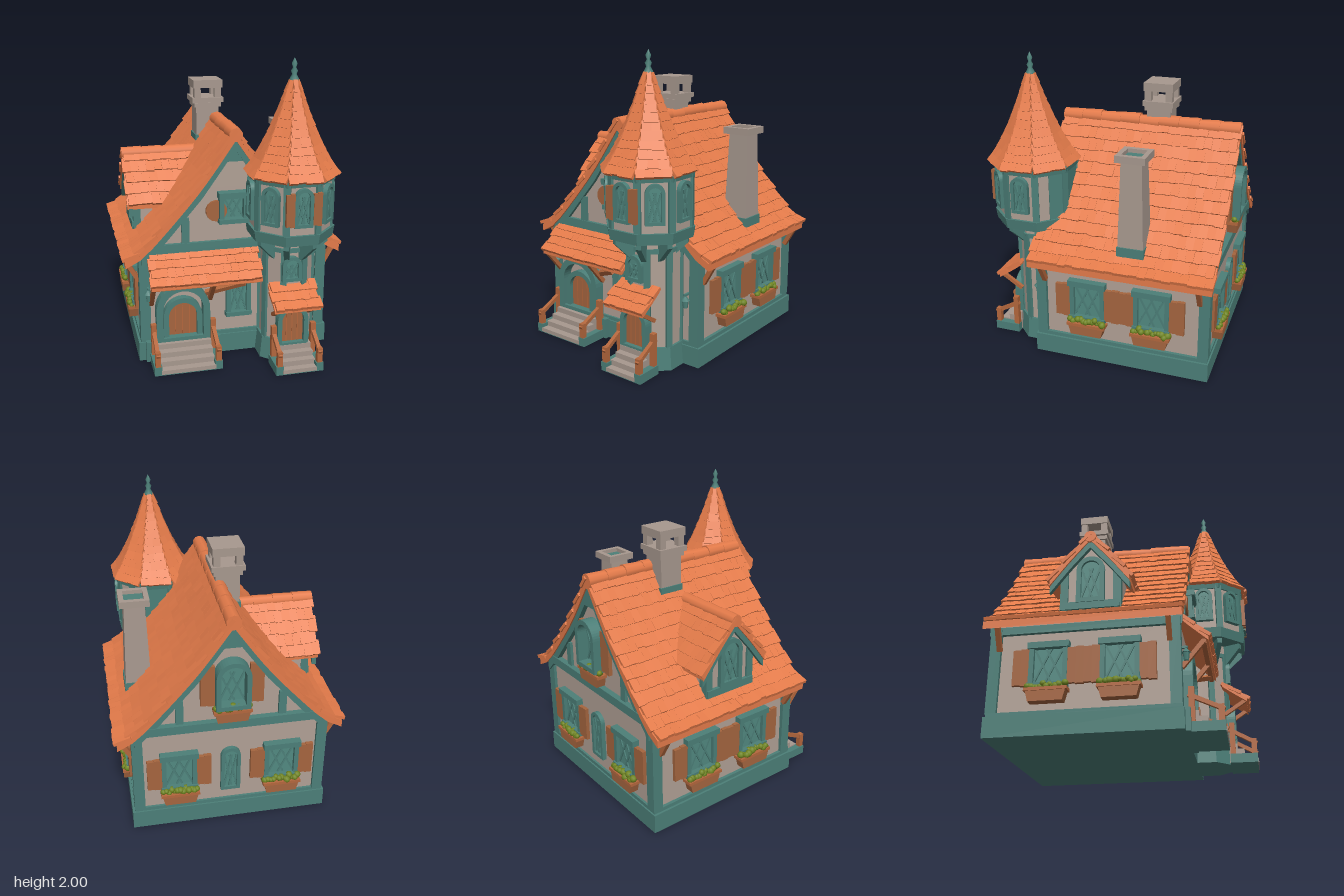
import * as THREE from 'three';
import { mergeGeometries } from 'three/addons/utils/BufferGeometryUtils.js';

const mat = (name, color) => Object.assign(new THREE.MeshStandardMaterial({ color }), { name });
const M = {
  tile: mat('roofTile', 0xe47b4a), teal: mat('tealTimber', 0x4c7f78), wall: mat('plaster', 0xb0a095),
  stone: mat('stone', 0xa7988e), wood: mat('wood', 0xa5653f), rail: mat('lightWood', 0xb4673d),
  glass: mat('glass', 0x528981), leaf: mat('leaves', 0x6f8420),
};
let seed = 7;
const rnd = (a = -1, b = 1) => { seed = (seed * 16807) % 2147483647; return a + (b - a) * seed / 2147483647; };

function add(p, name, geo, m, x = 0, y = 0, z = 0) {
  const o = new THREE.Mesh(geo, m);
  o.name = name; o.position.set(x, y, z); p.add(o);
  return o;
}
const box = (p, name, m, w, h, d, x, y, z) => add(p, name, new THREE.BoxGeometry(w, h, d), m, x, y, z);
function group(p, name, x = 0, y = 0, z = 0, ry = 0) {
  const g = new THREE.Group();
  g.name = name; g.position.set(x, y, z); g.rotation.y = ry; p.add(g);
  return g;
}
// Square bar between two points
function bar(p, name, m, a, b, t) {
  const A = new THREE.Vector3(...a), B = new THREE.Vector3(...b), d = B.clone().sub(A);
  const o = box(p, name, m, t, d.length(), t, 0, 0, 0);
  o.position.copy(A.add(B).multiplyScalar(0.5));
  o.quaternion.setFromUnitVectors(new THREE.Vector3(0, 1, 0), d.normalize());
}
const poly = pts => new THREE.Shape(pts.map(q => new THREE.Vector2(q[0], q[1])));
const extrude = (s, depth) => new THREE.ExtrudeGeometry(s, { depth, bevelEnabled: false, curveSegments: 10 });
// Flat-sided prism with one side facing front
function prism(r1, r2, h, n) {
  const g = new THREE.CylinderGeometry(r1, r2, h, n, 1, false, Math.PI / n).toNonIndexed();
  g.computeVertexNormals();
  return g;
}
function arch(w, h, y = 0, x = 0) {
  const s = new THREE.Shape(), r = w / 2;
  s.moveTo(x - r, y); s.lineTo(x + r, y); s.lineTo(x + r, y + h - r);
  s.absarc(x, y + h - r, r, 0, Math.PI, false); s.lineTo(x - r, y);
  return s;
}
function archRing(p, name, w, h, t, depth, x, y, z) {
  const s = arch(w, h); s.holes.push(arch(w - 2 * t, h - 2 * t, t));
  add(p, name, extrude(s, depth), M.teal, x, y, z);
}
// Band following a roof profile, between two vertical offsets
const band = (pts, top, bot, depth) => extrude(poly([...pts.map(q => [q[0], q[1] + top]),
  ...pts.slice().reverse().map(q => [q[0], q[1] + bot])]), depth);
const mirrored = pts => [...pts.slice(1).reverse().map(q => [-q[0], q[1]]), ...pts];

// One roof slope: slab plus overlapping uneven tiles; runs down local +x, lies along local z
function roofSlope(p, pts, len, rows, cols, thick = 0.05) {
  const curve = new THREE.SplineCurve(pts.map(q => new THREE.Vector2(...q)));
  const line = curve.getSpacedPoints(10).map(q => [q.x, q.y]), seg = curve.getLength() / rows, tiles = [];
  add(p, 'roofSlab', band(line, 0, -thick, len), M.tile, 0, 0, -len / 2);
  for (let i = 0; i < rows; i++) {
    const u = (i + 0.5) / rows, c = curve.getPointAt(u), t = curve.getTangentAt(u);
    for (let j = 0; j < cols; j++) {
      const w = len / cols, L = seg * rnd(1.15, 1.4);
      const g = new THREE.BoxGeometry(L, 0.022, w * rnd(0.96, 1.06));
      g.rotateZ(Math.atan2(t.y, t.x) + 0.11 + rnd() * 0.04);
      g.rotateX(rnd() * 0.05);
      g.translate(c.x - t.y * 0.01, c.y + t.x * 0.01, (j + 0.5 - cols / 2 + (i % 2 ? 0.15 : -0.15)) * w);
      tiles.push(g);
    }
  }
  add(p, 'roofTiles', mergeGeometries(tiles), M.tile);
}
function ridge(p, len, y, r) {
  for (let i = 0, n = Math.round(len / 0.13); i < n; i++)
    add(p, 'ridgeTile', new THREE.CylinderGeometry(r, r * 1.1, len / n, 10).rotateX(Math.PI / 2), M.tile, 0, y + rnd() * 0.004, (i + 0.5) * len / n - len / 2);
}

function planter(p, x, y, w) {
  const g = group(p, 'flowerBox', x, y, 0.036);
  add(g, 'trough', extrude(poly([[-w * 0.42, 0], [w * 0.42, 0], [w / 2, 0.075], [-w / 2, 0.075]]), 0.064), M.wood, 0, 0, -0.032);
  box(g, 'troughRim', M.rail, w * 1.06, 0.02, 0.076, 0, 0.075, 0);
  for (let i = 0; i < 13; i++)
    add(g, 'plant', new THREE.IcosahedronGeometry(rnd(0.017, 0.026), 1), M.leaf, (i / 12 - 0.5) * w * 0.92, 0.1 + rnd() * 0.012, 0.012 + rnd() * 0.014);
}
// Window on a wall whose outward side is local +z; (x, y) is the bottom centre
function win(p, x, y, w, h, { round = false, depth = 0.035, shutter = 0, box: hasBox = false } = {}) {
  const g = group(p, 'window', x, y, 0), t = Math.min(0.03, w * 0.18);
  if (round) {
    archRing(g, 'windowFrame', w, h, t, depth, 0, 0, -0.005);
    add(g, 'windowPane', extrude(arch(w - t, h - t, t / 2), 0.01), M.glass);
  } else {
    box(g, 'windowPane', M.glass, w - t, h - t, 0.01, 0, h / 2, 0.005);
    for (const s of [-1, 1]) box(g, 'windowJamb', M.teal, t, h, depth, s * (w - t) / 2, h / 2, depth / 2);
    box(g, 'windowLintel', M.teal, w * 1.08, 0.04, depth * 1.4, 0, h - 0.015, depth * 0.7);
    box(g, 'windowSill', M.teal, w * 1.05, 0.03, depth * 1.3, 0, 0.01, depth * 0.65);
  }
  const k = w / 2 - t, top = round ? h - w * 0.45 : h - t;
  for (const s of [-1, 1]) {
    bar(g, 'lattice', M.teal, [-s * k, t, 0.012], [s * k * 0.2, top, 0.012], 0.012);
    bar(g, 'lattice', M.teal, [-s * k * 0.2, t, 0.012], [s * k, top, 0.012], 0.012);
    if (shutter) for (const q of [-0.25, 0.25])
      box(g, 'shutter', M.wood, shutter * 0.5, h * 0.83 + q * 0.02, 0.025, s * (w / 2 + shutter / 2) + q * shutter, h * 0.46, 0.02);
  }
  if (hasBox) planter(g, 0, -0.1, w + 0.01);
}
function door(p, x, y, w, h, t) {
  archRing(p, 'doorSurround', w + 2 * t, h + t, t, 0.06, x, y - t * 0.5, -0.01);
  add(p, 'door', extrude(arch(w, h), 0.02), M.wood, x, y);
  for (const s of [-0.25, 0, 0.25]) box(p, 'doorGroove', M.rail, 0.006, h * 0.8, 0.006, x + s * w, y + h * 0.42, 0.019);
}
function steps(p, x, w, z0, z1) {
  const n = 4, d = (z1 - z0) / n, g = group(p, 'steps', x);
  box(g, 'stepBase', M.teal, w, 0.008, z1 - z0, 0, 0.004, (z0 + z1) / 2);
  for (let i = 0; i < n; i++) {
    const h = 0.035 * (n - i);
    box(g, 'step', M.stone, w, h - 0.008, d + 0.01, 0, h / 2 + 0.004, z0 + d * (i + 0.5));
  }
  for (const s of [-1, 1]) {
    const sx = s * (w / 2 + 0.02);
    box(g, 'stepKerb', M.teal, 0.05, 0.06, z1 - z0, sx, 0.03, (z0 + z1) / 2);
    box(g, 'stairPost', M.rail, 0.035, 0.15, 0.035, sx, 0.085, z1 - 0.02);
    box(g, 'stairPost', M.rail, 0.035, 0.27, 0.035, sx, 0.14, z0 + 0.02);
    bar(g, 'handrail', M.rail, [sx, 0.13, z1], [sx, 0.23, z0], 0.026);
  }
}
function lantern(p, x, y) {
  const g = group(p, 'lantern', x, y, 0.04);
  box(g, 'lanternArm', M.teal, 0.014, 0.014, 0.06, 0, 0.06, -0.02);
  add(g, 'lanternBody', new THREE.CylinderGeometry(0.022, 0.015, 0.05, 6), M.glass);
  add(g, 'lanternCap', new THREE.ConeGeometry(0.03, 0.035, 6), M.teal, 0, 0.042);
}

function turret(p) {
  const g = group(p, 'turret', 0.34, 0, 0.53), k = 1 / Math.cos(Math.PI / 8);
  const stem = group(g, 'stem', 0, 0, -0.05);
  add(stem, 'stemWall', prism(0.165 * k, 0.165 * k, 0.8, 8), M.wall, 0, 0.47);
  add(stem, 'stemPlinth', prism(0.18 * k, 0.195 * k, 0.15, 8), M.teal, 0, 0.075);
  add(stem, 'stemBand', prism(0.175 * k, 0.175 * k, 0.03, 8), M.teal, 0, 0.785);
  add(g, 'roomWall', prism(0.25 * k, 0.25 * k, 0.4, 8), M.wall, 0, 1.09);
  add(g, 'roomSill', prism(0.268 * k, 0.258 * k, 0.07, 8), M.teal, 0, 0.9);
  add(g, 'roomCornice', prism(0.268 * k, 0.26 * k, 0.05, 8), M.teal, 0, 1.27);
  for (let i = 0; i < 8; i++) {
    const a = i * Math.PI / 4, c = group(g, 'turretCorner', 0, 0, 0, a + Math.PI / 8);
    box(c, 'roomPost', M.teal, 0.045, 0.36, 0.03, 0, 1.09, 0.25 * k - 0.008);
    const s = group(stem, 'stemCorner', 0, 0, 0, a + Math.PI / 8);
    box(s, 'stemPost', M.teal, 0.04, 0.7, 0.03, 0, 0.45, 0.165 * k - 0.005);
    add(c, 'bracket', extrude(poly([[0.1, 0.72], [0.14, 0.72], [0.25, 0.83], [0.25, 0.88], [0.1, 0.88]]), 0.035).rotateY(-Math.PI / 2), M.teal, 0.0175);
    const w = group(group(g, 'turretFace', 0, 0, 0, a), 'turretWall', 0, 0, 0.25);
    if (i < 3 || i > 5) win(w, 0, 0.99, 0.12, 0.25, { round: true, shutter: i === 0 ? 0.055 : 0 });
    else box(w, 'timberPanel', M.teal, i === 4 ? 0.2 : 0.11, 0.34, 0.008, (4 - i) * 0.045, 1.09, 0.002);
  }
  // Flared spire with tiles on each of its eight faces
  const spire = group(g, 'spire', 0, 0, 0.012);
  const prof = [[0.272, 1.29], [0.218, 1.37], [0.148, 1.51], [0.077, 1.69], [0.022, 1.86]];
  const pts = [[0.02, 1.28], ...prof, [0.001, 1.87]].map(q => new THREE.Vector2(q[0] * k, q[1]));
  add(spire, 'spireCore', new THREE.LatheGeometry(pts, 8, Math.PI / 8), M.tile);
  const curve = new THREE.SplineCurve(prof.map(q => new THREE.Vector2(...q))), rows = 11, tiles = [];
  for (let i = 0; i < rows; i++) for (let f = 0; f < 8; f++) {
    const u = (i + 0.4) / rows, c = curve.getPointAt(u), t = curve.getTangentAt(u);
    const W = 2 * c.x * Math.tan(Math.PI / 8), n = Math.max(1, Math.round(W / 0.06));
    for (let j = 0; j < n; j++) {
      const b = new THREE.BoxGeometry(W / n * rnd(0.98, 1.1), 0.075 * rnd(0.85, 1.1), 0.022);
      b.rotateX(Math.atan2(t.x, t.y) - 0.1 + rnd() * 0.05);
      b.translate((j + 0.5 - n / 2) * W / n, c.y, c.x + 0.003);
      tiles.push(b.rotateY(f * Math.PI / 4));
    }
  }
  add(spire, 'spireTiles', mergeGeometries(tiles), M.tile);
  const fin = [[0.001, 1.83], [0.036, 1.84], [0.03, 1.87], [0.014, 1.9], [0.022, 1.92], [0.01, 1.94], [0.018, 1.965], [0.001, 2]];
  add(spire, 'finial', new THREE.LatheGeometry(fin.map(q => new THREE.Vector2(...q)), 10), M.teal);
  // Lower doorway with its little canopy
  const front = group(g, 'turretFront', 0, 0, 0.117);
  door(front, -0.01, 0.14, 0.15, 0.26, 0.03);
  win(front, -0.02, 0.58, 0.13, 0.17, { round: true });
  roofSlope(group(g, 'canopy', -0.01, 0, -0.53, -Math.PI / 2), [[0.62, 0.55], [0.71, 0.485], [0.785, 0.435]], 0.31, 3, 6, 0.02);
  for (const s of [-0.13, 0.11]) bar(g, 'canopyBrace', M.rail, [s, 0.34, 0.1], [s, 0.43, 0.24], 0.025);
}

export function createModel() {
  const house = new THREE.Group(); house.name = 'house';
  // Walls, plinth and corner posts
  const gable = [...mirrored([[0, 1.47], [0.22, 1.17], [0.47, 0.88], [0.61, 0.73]]), [0.62, 0.05], [-0.62, 0.05]];
  add(house, 'walls', extrude(poly(gable), 1.15), M.wall, 0, 0, -0.74);
  box(house, 'plinth', M.teal, 1.31, 0.13, 1.2, 0, 0.065, -0.165);
  box(house, 'plinthCap', M.teal, 1.28, 0.03, 1.18, 0, 0.14, -0.165);
  for (const x of [-0.605, 0.605]) {
    for (const z of [-0.725, 0.39]) {
      box(house, 'cornerPost', M.teal, 0.07, 0.56, 0.07, x, 0.43, z);
      bar(house, 'eaveBracket', M.rail, [x * 1.05, 0.55, z - Math.sign(z) * 0.03], [x * 1.18, 0.69, z - Math.sign(z) * 0.03], 0.03);
    }
    box(house, 'eaveBeam', M.teal, 0.04, 0.05, 1.15, x * 1.02, 0.685, -0.165);
  }
  // Main roof
  const slope = [[0, 1.53], [0.22, 1.22], [0.47, 0.93], [0.62, 0.78], [0.728, 0.72]];
  const roof = group(house, 'mainRoof', 0, 0, -0.17);
  for (const ry of [0, Math.PI]) roofSlope(group(roof, 'roofSide', 0, 0, 0, ry), slope, 1.23, 13, 23);
  ridge(roof, 1.23, 1.515, 0.045);
  for (const z of [-0.775, 0.4]) {
    add(house, 'bargeboard', band(mirrored(slope.slice(0, 4)), -0.045, -0.115, 0.035), M.teal, 0, 0, z);
    box(house, 'gableBeam', M.teal, 1.2, 0.06, 0.04, 0, 0.78, z + 0.015);
    add(house, 'gablePeak', extrude(poly([[-0.07, 1.34], [0.07, 1.34], [0, 1.45]]), 0.03), M.teal, 0, 0, z);
  }
  for (const x of [-0.33, 0.33]) for (const z of [-0.745, 0.415]) box(house, 'gablePost', M.teal, 0.05, 0.2, 0.03, x, 0.88, z);
  // Side and back windows
  for (const s of [-1, 1]) {
    const side = group(house, 'sideWall', s * 0.62, 0, 0, s * Math.PI / 2);
    for (const z of [0.06, -0.38]) win(side, -s * z, 0.3, 0.24, 0.28, { shutter: 0.1, box: true });
  }
  const back = group(house, 'backWall', 0, 0, -0.74, Math.PI);
  for (const x of [-0.34, 0.34]) win(back, x, 0.3, 0.23, 0.28, { shutter: 0.095, box: true });
  win(back, 0, 0.24, 0.13, 0.34, { round: true });
  win(back, 0, 0.92, 0.22, 0.34, { round: true, depth: 0.09, shutter: 0.09, box: true });
  // Front wall with the porch
  const front = group(house, 'frontWall', 0, 0, 0.41);
  win(front, 0.025, 0.27, 0.17, 0.27);
  win(front, -0.015, 0.94, 0.19, 0.2, { depth: 0.05 });
  add(front, 'roundShutter', new THREE.CylinderGeometry(0.07, 0.07, 0.025, 14).rotateX(Math.PI / 2), M.wood, -0.125, 1.015, 0.01);
  box(front, 'porchFloor', M.teal, 0.5, 0.14, 0.07, -0.36, 0.07, 0.02);
  archRing(front, 'porchArch', 0.36, 0.42, 0.045, 0.07, -0.36, 0.12, 0);
  door(front, -0.36, 0.14, 0.19, 0.28, 0.035);
  lantern(front, -0.585, 0.46);
  lantern(front, 0.56, 0.42);
  steps(house, -0.36, 0.36, 0.45, 0.66);
  steps(house, 0.34, 0.23, 0.65, 0.83);
  roofSlope(group(house, 'porchRoof', -0.215, 0, 0, -Math.PI / 2), [[0.4, 0.755], [0.49, 0.67], [0.585, 0.585]], 0.73, 4, 14, 0.025);
  box(house, 'porchBeam', M.rail, 0.68, 0.03, 0.03, -0.215, 0.565, 0.555);
  for (const x of [-0.565, -0.17]) bar(house, 'porchBrace', M.rail, [x, 0.4, 0.42], [x, 0.56, 0.555], 0.028);
  bar(house, 'porchBrace', M.rail, [-0.2, 0.45, 0.43], [0.04, 0.55, 0.55], 0.03);
  turret(house);
  // Dormer
  const dormer = group(house, 'dormer', -0.4, 0, -0.135, -Math.PI / 2);
  const dpts = [[0, 1.31], [0.13, 1.16], [0.255, 1.0]];
  for (const ry of [0, Math.PI]) roofSlope(group(dormer, 'dormerSlope', 0, 0, 0, ry), dpts, 0.54, 5, 10, 0.035);
  ridge(dormer, 0.55, 1.3, 0.04);
  add(dormer, 'dormerWall', extrude(poly([[-0.19, 0.76], [0.19, 0.76], [0.19, 1.05], [0, 1.27], [-0.19, 1.05]]), 0.4), M.wall, 0, 0, -0.19);
  add(dormer, 'dormerBargeboard', band(mirrored(dpts), -0.03, -0.085, 0.03), M.teal, 0, 0, 0.23);
  for (const x of [-0.17, 0.17]) box(dormer, 'dormerPost', M.teal, 0.05, 0.28, 0.05, x, 0.92, 0.2);
  box(dormer, 'dormerSill', M.teal, 0.38, 0.05, 0.05, 0, 0.83, 0.21);
  win(group(dormer, 'dormerFront', 0, 0, 0.21), 0, 0.85, 0.18, 0.32, { round: true });
  // Ridge chimney with an open cap
  const c1 = group(house, 'ridgeChimney', -0.058, 0, -0.23);
  box(c1, 'shaft', M.stone, 0.16, 0.42, 0.16, 0, 1.41, 0);
  box(c1, 'flashing', M.teal, 0.175, 0.12, 0.175, 0, 1.34, 0);
  box(c1, 'collar', M.stone, 0.19, 0.03, 0.19, 0, 1.61, 0);
  box(c1, 'collarTop', M.stone, 0.22, 0.035, 0.21, 0, 1.645, 0);
  for (const x of [-0.072, 0.072]) for (const z of [-0.072, 0.072]) box(c1, 'capPost', M.stone, 0.045, 0.08, 0.045, x, 1.7, z);
  box(c1, 'capSlab', M.stone, 0.205, 0.055, 0.2, 0, 1.757, 0);
  // Side chimney with a hollow rim
  const c2 = group(house, 'sideChimney', 0.54, 0, -0.23), q = Math.SQRT1_2;
  add(c2, 'shaft', prism(0.135 * q, 0.175 * q, 0.67, 4), M.stone, 0, 1.095);
  box(c2, 'flashing', M.teal, 0.185, 0.12, 0.18, 0, 0.8, 0);
  const rim = poly([[-0.097, -0.097], [0.097, -0.097], [0.097, 0.097], [-0.097, 0.097]]);
  rim.holes.push(poly([[-0.064, -0.064], [-0.064, 0.064], [0.064, 0.064], [0.064, -0.064]]));
  add(c2, 'rim', extrude(rim, 0.045).rotateX(-Math.PI / 2), M.stone, 0, 1.425);
  box(c2, 'flue', M.teal, 0.135, 0.008, 0.135, 0, 1.44, 0);
  return house;
}
